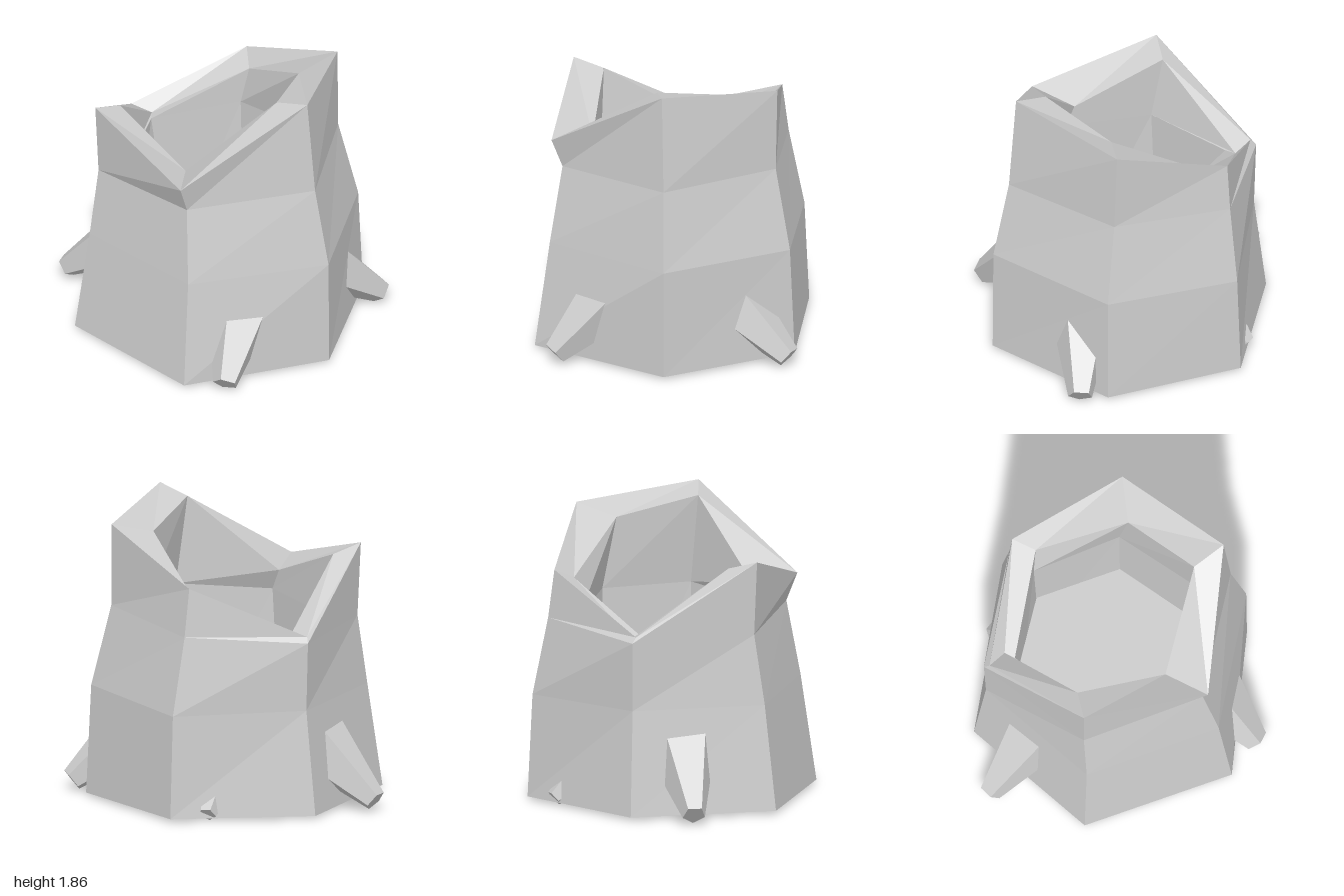
import * as THREE from 'three';

const wood = new THREE.MeshStandardMaterial({ color: 0xcccccc, flatShading: true, side: THREE.DoubleSide });
wood.name = 'pale grey wood';

// Six-cornered cross-sections, ordered front-right, front-left, left, back-left, back-right, right
const base = [[-0.51, 0.02, 0.75], [0.475, 0.02, 0.865], [0.995, 0.02, 0.05], [0.595, 0.02, -0.78], [-0.3, 0.02, -0.87], [-0.85, 0.02, -0.13]];
const waist = [[-0.455, 0.69, 0.67], [0.43, 0.71, 0.77], [0.99, 0.73, 0.05], [0.58, 0.72, -0.75], [-0.29, 0.68, -0.84], [-0.765, 0.69, -0.13]];
const neck = [[-0.44, 1.14, 0.6], [0.355, 1.2, 0.69], [0.88, 1.24, 0.05], [0.49, 1.24, -0.66], [-0.29, 1.18, -0.74], [-0.78, 1.13, -0.13]];
const rim = [[-0.45, 1.61, 0.62], [0.36, 1.38, 0.76], [0.825, 1.865, 0.06], [0.476, 1.77, -0.67], [-0.29, 1.49, -0.7], [-0.75, 1.165, -0.11]];
const innerRim = [[-0.4, 1.555, 0.43], [0.19, 1.335, 0.5], [0.6, 1.81, 0.09], [0.38, 1.7, -0.4], [-0.18, 1.42, -0.59], [-0.62, 1.13, -0.155]];
const innerNeck = neck.map(([x, y, z]) => [x * 0.74, y, z * 0.74]);
const innerBase = [[-0.35, 0.05, 0.41], [0.21, 0.05, 0.54], [0.62, 0.05, 0.05], [0.36, 0.05, -0.47], [-0.18, 0.05, -0.54], [-0.49, 0.05, -0.2]];

function geometryFrom(positions) {
  const g = new THREE.BufferGeometry();
  g.setAttribute('position', new THREE.Float32BufferAttribute(positions, 3));
  g.computeVertexNormals();
  return g;
}

// Joins successive rings with two triangles per side
function skin(rings) {
  const out = [];
  for (let r = 0; r < rings.length - 1; r++) {
    const lo = rings[r], hi = rings[r + 1], n = lo.length;
    for (let i = 0; i < n; i++) {
      const j = (i + 1) % n;
      out.push(...lo[i], ...lo[j], ...hi[j], ...lo[i], ...hi[j], ...hi[i]);
    }
  }
  return geometryFrom(out);
}

function addMesh(group, name, geometry) {
  const mesh = new THREE.Mesh(geometry, wood);
  mesh.name = name;
  group.add(mesh);
  return mesh;
}

// Tapered five-sided root from inside the trunk, through the wall, to its blunt tip
function addRoot(group, name, tip, wall, tipRadius, innerRadius) {
  const end = new THREE.Vector3(...tip);
  const start = new THREE.Vector3(...wall).lerp(end, -0.9);
  const axis = end.clone().sub(start);
  const root = addMesh(group, name, new THREE.CylinderGeometry(tipRadius, innerRadius, axis.length(), 5));
  root.position.copy(start).add(end).multiplyScalar(0.5);
  root.quaternion.setFromUnitVectors(new THREE.Vector3(0, 1, 0), axis.normalize());
}

export function createModel() {
  const group = new THREE.Group();
  group.name = 'hollowStump';

  // Trunk shell, open below: outer bark, slanted rim, inner tube
  addMesh(group, 'trunk', skin([base, waist, neck, rim, innerRim, innerNeck, innerBase]));

  // Floor across the inner tube
  const floorRing = innerBase.map(([x, , z], i) => [(x + innerNeck[i][0]) / 2, 0.67, (z + innerNeck[i][2]) / 2]);
  const fan = [];
  floorRing.forEach((p, i) => fan.push(0, 0.67, 0, ...p, ...floorRing[(i + 1) % 6]));
  addMesh(group, 'hollowFloor', geometryFrom(fan));

  // Roots
  addRoot(group, 'rightRoot', [-0.95, 0.07, 0.29], [-0.64, 0.32, 0.19], 0.075, 0.28);
  addRoot(group, 'frontLeftRoot', [0.71, 0.065, 0.74], [0.63, 0.23, 0.56], 0.08, 0.21);
  addRoot(group, 'backLeftRoot', [0.77, 0.065, -0.74], [0.66, 0.24, -0.54], 0.08, 0.21);
  addRoot(group, 'backRightRoot', [-0.44, 0.045, -0.68], [-0.34, 0.2, -0.51], 0.055, 0.19);
  return group;
}
